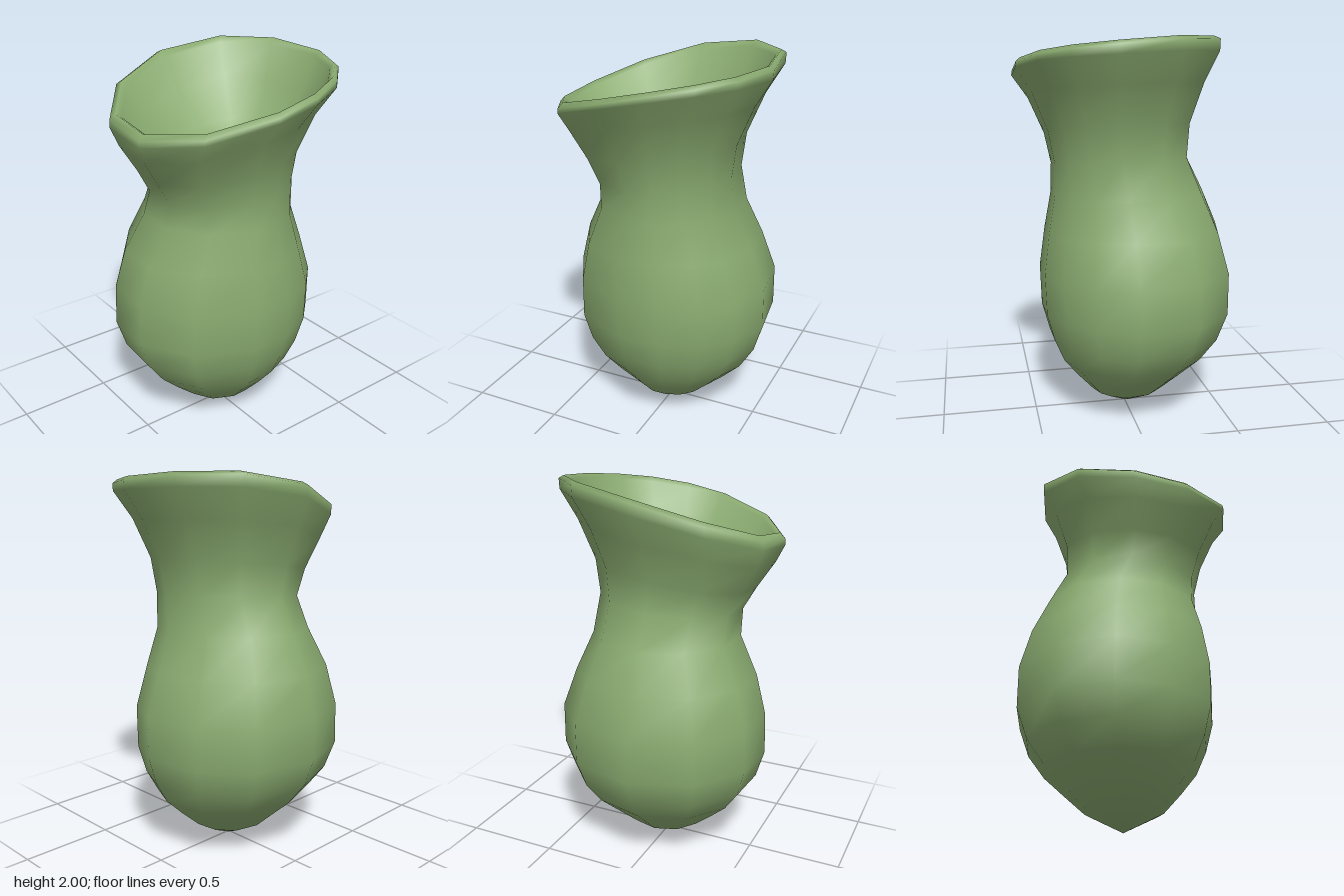
import * as THREE from 'three';

// Uneven spacing of the twelve sides, in degrees from +x towards +z
const ANGLES = [10, 34, 55, 77, 99.5, 134, 168, 199, 232, 267, 303, 335];

// Skin through elliptical rings [y, centreX, centreZ, radiusX, radiusZ, slopeX, slopeZ, bendZ],
// closed by a single point at each end
function loft(rings, start, end) {
  const n = ANGLES.length;
  const pos = [];
  const index = [];
  for (const [y, cx, cz, rx, rz, sx = 0, sz = 0, bend = 0] of rings) {
    for (const deg of ANGLES) {
      const a = THREE.MathUtils.degToRad(deg);
      const x = cx + rx * Math.cos(a);
      const z = cz + rz * Math.sin(a);
      pos.push(x, y + sx * x + sz * z + bend * z * z, z);
    }
  }
  const first = rings.length * n;
  const lastRow = first - n;
  pos.push(...start, ...end);
  for (let j = 0; j < n; j++) {
    const k = (j + 1) % n;
    index.push(first, j, k);
    for (let i = 0; i < rings.length - 1; i++) {
      const a = i * n + j, b = i * n + k;
      index.push(a, a + n, b, b, a + n, b + n);
    }
    index.push(lastRow + j, first + 1, lastRow + k);
  }
  const geo = new THREE.BufferGeometry();
  geo.setAttribute('position', new THREE.Float32BufferAttribute(pos, 3));
  geo.setIndex(index);
  geo.computeVertexNormals();
  return geo;
}

export function createModel() {
  const group = new THREE.Group();
  group.name = 'pitcherVase';

  const rings = [
    // rounded belly
    [0.1, 0, -0.01, 0.21, 0.2],
    [0.2, 0, -0.02, 0.325, 0.3],
    [0.3, 0, -0.035, 0.43, 0.395],
    [0.42, -0.005, -0.055, 0.51, 0.467],
    [0.57, -0.005, -0.063, 0.555, 0.516],
    [0.79, -0.002, -0.06, 0.55, 0.52],
    [1.0, -0.012, -0.047, 0.483, 0.477],
    // waist
    [1.2, -0.005, -0.02, 0.388, 0.414],
    [1.37, -0.01, 0.022, 0.378, 0.367, 0.08, -0.03],
    // flaring, tilted neck
    [1.52, -0.03, 0.03, 0.425, 0.39, 0.14, -0.04, 0.1],
    [1.69, -0.03, 0.035, 0.515, 0.465, 0.18, -0.05, 0.18],
    [1.8, -0.004, 0.042, 0.58, 0.542, 0.21, -0.07, 0.2],
    // rounded lip
    [1.842, -0.002, 0.04, 0.58, 0.541, 0.22, -0.1, 0.2],
    [1.864, 0, 0.045, 0.555, 0.515, 0.22, -0.1, 0.2],
    [1.845, 0, 0.05, 0.53, 0.488, 0.22, -0.1, 0.2],
    // hollow inside
    [1.72, 0.01, 0.06, 0.45, 0.41, 0.18, -0.08, 0.15],
    [1.58, 0.04, 0.07, 0.3, 0.28, 0.11, -0.05, 0.05],
    [1.51, 0.06, 0.09, 0.15, 0.14, 0.05],
  ];

  const vessel = new THREE.Mesh(
    loft(rings, [0.01, 0, -0.01], [0.07, 1.49, 0.1]),
    new THREE.MeshStandardMaterial({ color: 0x8aab70 })
  );
  vessel.name = 'vessel';
  group.add(vessel);
  return group;
}
